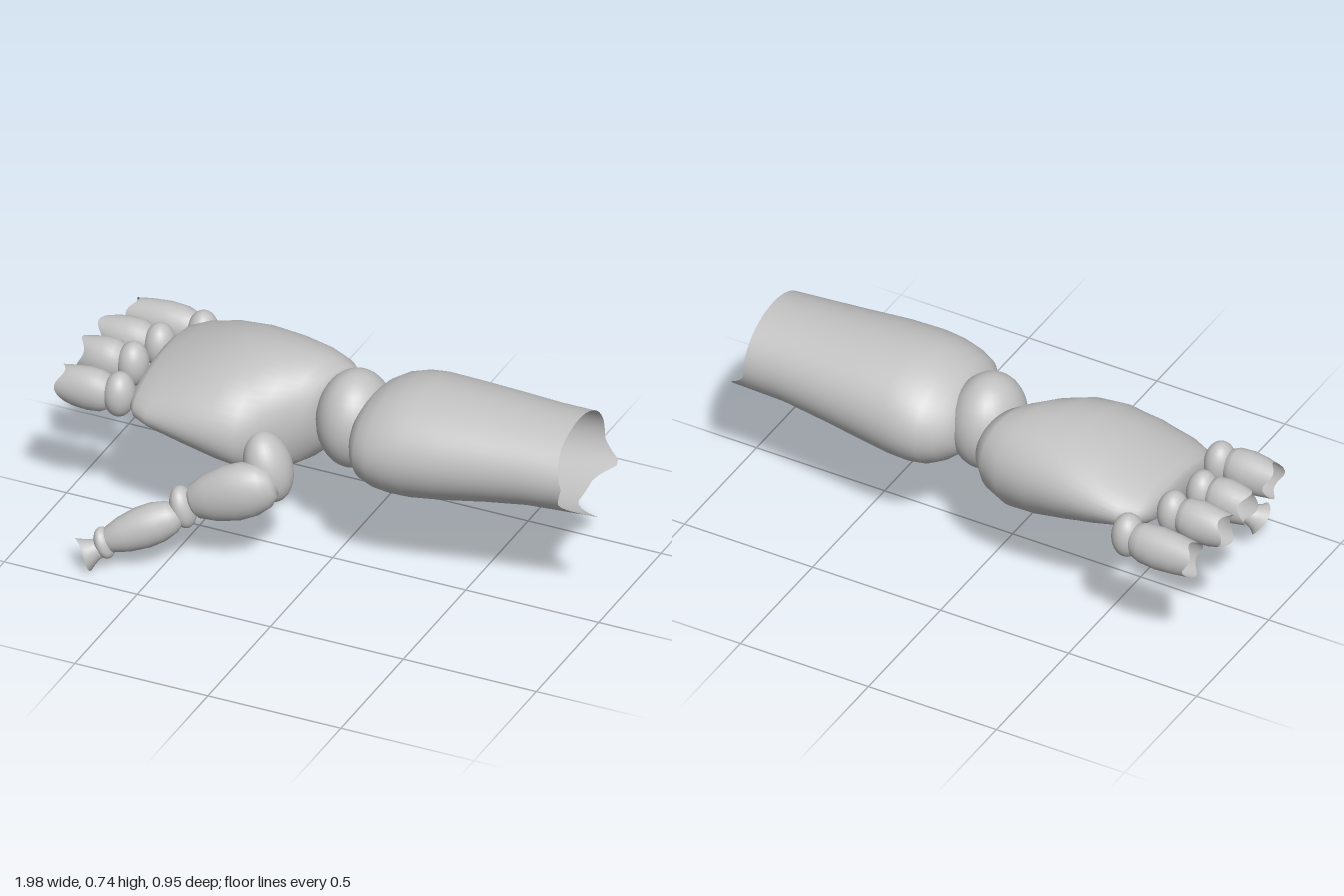
import * as THREE from 'three';

const V = (x, y, z) => new THREE.Vector3(x, y, z);
const grey = new THREE.MeshStandardMaterial({ color: 0xc2c2c2, side: THREE.DoubleSide });
grey.name = 'light grey';

// Shell along x from sections [x, yLow, yHigh, zLow, zHigh, slant]; rim(angle) shifts the last ring
function loft(sections, { sides = 36, rim = () => 0, tilt = 0 } = {}) {
  const pos = [], index = [];
  sections.forEach(([x, y0, y1, z0, z1, slant = 0], i) => {
    for (let j = 0; j < sides; j++) {
      const t = (j / sides) * Math.PI * 2;
      const dz = ((z1 - z0) / 2) * Math.cos(t);
      const dy = ((y1 - y0) / 2) * Math.sin(t);
      const end = i === sections.length - 1 ? rim(t) : 0;
      pos.push(x + slant * dz + end, (y0 + y1) / 2 + dy - tilt * dz, (z0 + z1) / 2 + dz);
      if (i === 0) continue;
      const k = (j + 1) % sides, p = (i - 1) * sides, q = i * sides;
      index.push(p + j, q + j, p + k, p + k, q + j, q + k);
    }
  });
  const g = new THREE.BufferGeometry();
  g.setAttribute('position', new THREE.Float32BufferAttribute(pos, 3));
  g.setIndex(index);
  g.computeVertexNormals();
  return g;
}

// Rotation that points local x along a direction while keeping y upward
function aim(dir) {
  const x = dir.clone().normalize();
  const z = x.clone().cross(V(0, 1, 0)).normalize();
  return new THREE.Quaternion().setFromRotationMatrix(
    new THREE.Matrix4().makeBasis(x, z.clone().cross(x), z));
}

function add(parent, name, geometry) {
  const mesh = new THREE.Mesh(geometry, grey);
  mesh.name = name;
  parent.add(mesh);
  return mesh;
}

// Ellipsoid joint
function joint(parent, name, center, radii, roll = 0) {
  const mesh = add(parent, name, new THREE.SphereGeometry(1, 28, 18));
  mesh.position.copy(center);
  mesh.scale.copy(radii);
  mesh.rotation.z = roll;
}

// Segment between two points; profile rows are [fraction, half height, half width]
function segment(parent, name, from, to, profile, rim) {
  const dir = to.clone().sub(from), len = dir.length();
  const rows = profile.map(([f, h, w]) => [f * len, -h, h, -w, w]);
  const mesh = add(parent, name, loft(rows, { sides: 28, rim }));
  mesh.position.copy(from);
  mesh.quaternion.copy(aim(dir));
}

// Pointed tooth on a torn rim
function spike(t, at, width) {
  const d = Math.abs(Math.atan2(Math.sin(t - at), Math.cos(t - at)));
  return Math.max(0, 1 - d / width) ** 1.6;
}

export function createModel() {
  const hand = new THREE.Group();
  hand.name = 'hand';

  // Forearm sleeve, open at both ends with a torn outer rim
  add(hand, 'forearm', loft([
    [0.1, 0.43, 0.61, -0.21, 0.05],
    [0.1, 0.41, 0.625, -0.235, 0.085],
    [0.12, 0.385, 0.65, -0.26, 0.125],
    [0.15, 0.36, 0.68, -0.295, 0.16],
    [0.2, 0.338, 0.71, -0.328, 0.178],
    [0.26, 0.33, 0.73, -0.34, 0.186],
    [0.33, 0.332, 0.74, -0.34, 0.186],
    [0.45, 0.35, 0.74, -0.33, 0.175],
    [0.6, 0.375, 0.735, -0.318, 0.15],
    [0.75, 0.395, 0.73, -0.305, 0.128],
    [0.88, 0.405, 0.727, -0.305, 0.112],
  ], { sides: 48, rim: t => 0.12 * spike(t, -1.05, 0.5) + 0.08 * spike(t, -2.55, 0.5) + 0.03 * spike(t, 0, 0.9) }));

  joint(hand, 'wrist', V(0.045, 0.525, -0.085), V(0.13, 0.178, 0.155));

  // Palm
  add(hand, 'palm', loft([
    [-0.715, 0.51, 0.511, -0.08, -0.06],
    [-0.715, 0.475, 0.55, -0.22, 0.07],
    [-0.705, 0.45, 0.575, -0.3, 0.12],
    [-0.68, 0.435, 0.595, -0.355, 0.155],
    [-0.62, 0.415, 0.62, -0.39, 0.182],
    [-0.5, 0.37, 0.667, -0.4, 0.196],
    [-0.38, 0.33, 0.695, -0.395, 0.2],
    [-0.27, 0.297, 0.7, -0.382, 0.18, -0.08],
    [-0.18, 0.288, 0.69, -0.36, 0.125, -0.2],
    [-0.11, 0.32, 0.67, -0.325, 0.05, -0.3],
    [-0.065, 0.38, 0.645, -0.285, 0, -0.35],
    [-0.05, 0.43, 0.6, -0.24, -0.04, -0.35],
    [-0.05, 0.51, 0.511, -0.141, -0.14, -0.35],
  ], { sides: 48, tilt: 0.1 }));

  // Fingers: [name, knuckle x, y, knuckle z, segment z, segment end x]
  [
    ['littleFinger', -0.675, 0.505, -0.4, -0.412, -0.935],
    ['ringFinger', -0.76, 0.525, -0.235, -0.237, -0.965],
    ['middleFinger', -0.79, 0.525, -0.085, -0.083, -0.965],
    ['indexFinger', -0.755, 0.515, 0.1, 0.105, -0.96],
  ].forEach(([name, x, y, kz, sz, end], i) => {
    const finger = new THREE.Group();
    finger.name = name;
    hand.add(finger);
    joint(finger, 'knuckle', V(x, y, kz), V(0.055, 0.083, 0.062));
    segment(finger, 'fingerSegment', V(x - 0.03, y, sz), V(end, y - 0.005, sz), [
      [0, 0.045, 0.04], [0.04, 0.062, 0.052], [0.18, 0.074, 0.063], [0.45, 0.078, 0.068],
      [0.75, 0.073, 0.063], [1, 0.065, 0.055],
    ], t => 0.014 * Math.sin(3 * t + i * 1.7));
  });

  // Thumb
  const thumb = new THREE.Group();
  thumb.name = 'thumb';
  hand.add(thumb);
  joint(thumb, 'thumbBase', V(-0.185, 0.385, 0.12), V(0.08, 0.13, 0.092), 0.3);
  const bulge = (h, w) => [
    [0, 0.01, 0.01], [0.02, 0.5 * h, 0.5 * w], [0.12, 0.78 * h, 0.78 * w], [0.3, 0.97 * h, 0.97 * w],
    [0.5, h, w], [0.75, 0.86 * h, 0.86 * w], [0.95, 0.62 * h, 0.62 * w], [1, 0.4 * h, 0.4 * w],
    [1, 0.01, 0.01],
  ];
  segment(thumb, 'lowerThumbSegment', V(-0.13, 0.37, 0.19), V(-0.415, 0.255, 0.25), bulge(0.103, 0.078));
  joint(thumb, 'thumbMiddleJoint', V(-0.44, 0.235, 0.26), V(0.042, 0.078, 0.055), 0.3);
  segment(thumb, 'upperThumbSegment', V(-0.44, 0.22, 0.28), V(-0.675, 0.105, 0.385), bulge(0.075, 0.067));
  joint(thumb, 'thumbEndJoint', V(-0.675, 0.103, 0.39), V(0.03, 0.058, 0.045), 0.4);
  segment(thumb, 'thumbTip', V(-0.68, 0.09, 0.395), V(-0.735, 0.06, 0.422), [
    [0, 0.036, 0.032], [0.35, 0.037, 0.035], [0.7, 0.048, 0.043], [1, 0.064, 0.052],
  ], t => 0.007 * Math.sin(2 * t));

  return hand;
}
